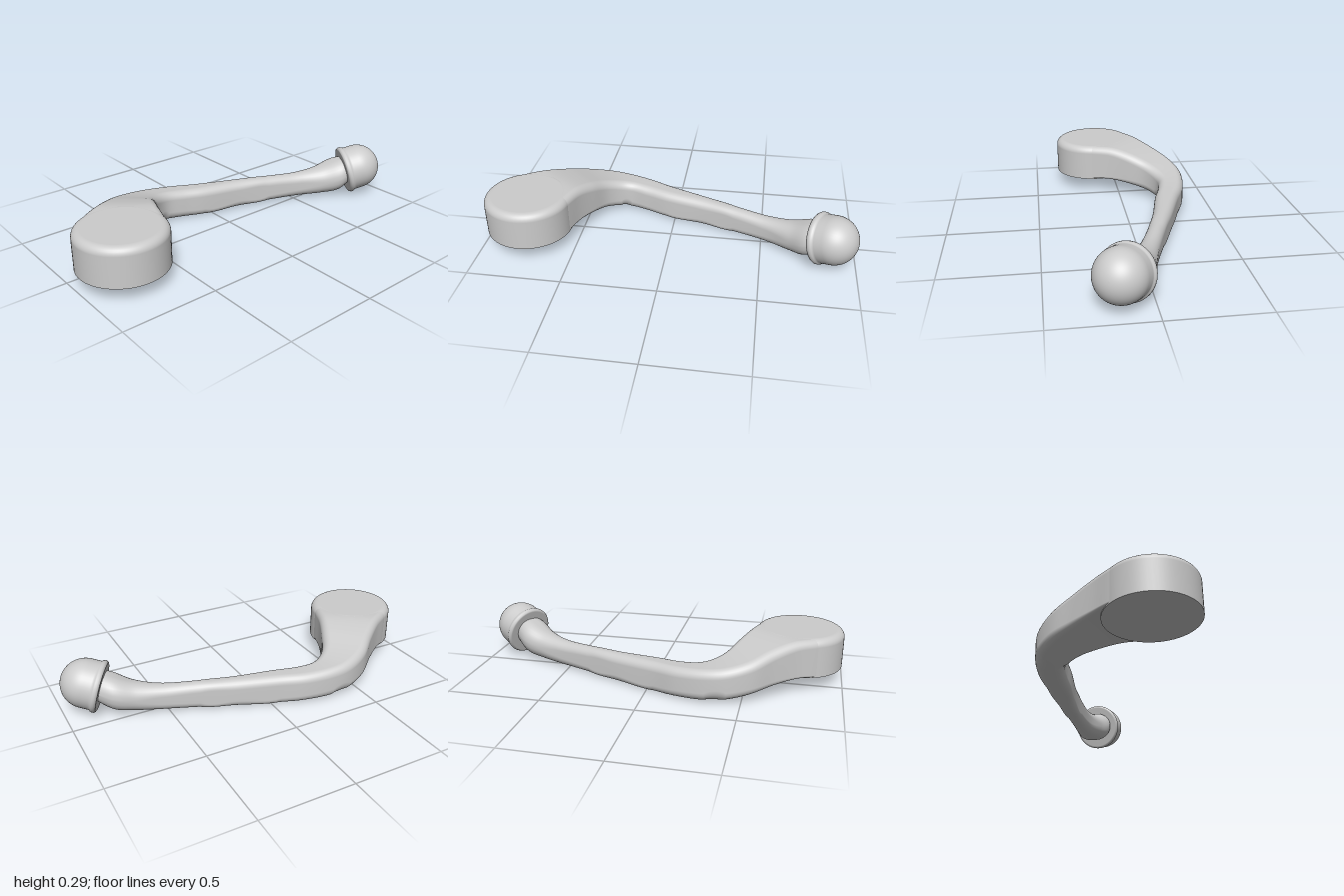
import * as THREE from 'three';

const material = new THREE.MeshStandardMaterial({ color: 0xcccccc, roughness: 0.6 });

// Stations along the lever: outer edge x,z | inner edge x,z | top, bottom | top and bottom corner radius
const STATIONS = [
  [-0.02, 0.935, 0.28, 0.59, 0.287, 0.087, 0.04, 0.006],
  [-0.08, 0.86, 0.18, 0.54, 0.287, 0.089, 0.04, 0.008],
  [-0.14, 0.765, 0.06, 0.495, 0.286, 0.09, 0.042, 0.015],
  [-0.22, 0.66, -0.04, 0.445, 0.262, 0.073, 0.045, 0.03],
  [-0.31, 0.55, -0.14, 0.385, 0.221, 0.045, 0.045, 0.045],
  [-0.358, 0.43, -0.19, 0.32, 0.194, 0.025, 0.045, 0.05],
  [-0.363, 0.32, -0.206, 0.26, 0.181, 0.015, 0.045, 0.05],
  [-0.333, 0.17, -0.188, 0.17, 0.171, 0.009, 0.045, 0.045],
  [-0.28, 0.04, -0.15, 0.05, 0.166, 0.005, 0.045, 0.04],
  [-0.2, -0.18, -0.1, -0.16, 0.161, 0.008, 0.045, 0.04],
  [-0.13, -0.36, -0.042, -0.34, 0.157, 0.012, 0.045, 0.04],
  [-0.065, -0.55, 0.04, -0.53, 0.156, 0.015, 0.05, 0.05],
  [-0.035, -0.67, 0.12, -0.64, 0.176, 0.02, 0.07, 0.07],
  [-0.008, -0.78, 0.185, -0.715, 0.215, 0.035, 0.085, 0.085],
  [0.06, -0.86, 0.2, -0.78, 0.235, 0.075, 0.08, 0.08],
];

// Rounded rectangle, counter-clockwise, with separate top and bottom radii
function section(halfW, bottom, top, rTop, rBottom) {
  const limit = Math.min(halfW, (top - bottom) / 2) * 0.98;
  const points = [];
  const corners = [[1, -1], [1, 1], [-1, 1], [-1, -1]];
  corners.forEach(([sx, sy], k) => {
    const r = Math.min(sy > 0 ? rTop : rBottom, limit);
    const cx = sx * (halfW - r);
    const cy = sy > 0 ? top - r : bottom + r;
    for (let i = 0; i <= 7; i++) {
      const a = (k - 1 + i / 7) * Math.PI / 2;
      points.push([cx + r * Math.cos(a), cy + r * Math.sin(a)]);
    }
  });
  return points;
}

// Lever arm: smooth loft through the stations, closed at both ends
function leverGeometry() {
  const curve = (pick) => new THREE.CatmullRomCurve3(
    STATIONS.map((s) => new THREE.Vector3(...pick(s))));
  const outer = curve((s) => [s[0], s[4], s[1]]);
  const inner = curve((s) => [s[2], s[5], s[3]]);
  const radii = curve((s) => [s[6], s[7], 0]);
  const steps = 112;
  const ring = 32;
  const positions = [];
  const index = [];
  for (let i = 0; i <= steps; i++) {
    const l = outer.getPoint(i / steps);
    const r = inner.getPoint(i / steps);
    const c = radii.getPoint(i / steps);
    const halfW = Math.hypot(r.x - l.x, r.z - l.z) / 2;
    for (const [u, y] of section(halfW, r.y, l.y, c.x, c.y)) {
      const t = 0.5 + u / (2 * halfW);
      positions.push(l.x + (r.x - l.x) * t, y, l.z + (r.z - l.z) * t);
    }
  }
  for (let i = 0; i < steps; i++) {
    for (let j = 0; j < ring; j++) {
      const a = i * ring + j;
      const b = i * ring + (j + 1) % ring;
      index.push(a, a + ring, b + ring, a, b + ring, b);
    }
  }
  const last = steps * ring;
  for (let j = 1; j < ring - 1; j++) {
    index.push(0, j, j + 1, last, last + j + 1, last + j);
  }
  const geometry = new THREE.BufferGeometry();
  geometry.setAttribute('position', new THREE.Float32BufferAttribute(positions, 3));
  geometry.setIndex(index);
  geometry.computeVertexNormals();
  return geometry;
}

// Mount: round boss with a rounded top edge and a sharp flat underside
function mountGeometry() {
  const R = 0.232, top = 0.288, bottom = 0.085, f = 0.04;
  const profile = [[0, bottom], [R, bottom], [R, bottom], [R, top - f]];
  for (let i = 1; i <= 8; i++) {
    const a = i / 8 * Math.PI / 2;
    profile.push([R - f + f * Math.cos(a), top - f + f * Math.sin(a)]);
  }
  profile.push([R - f - 0.002, top], [0, top]);
  return new THREE.LatheGeometry(profile.map((p) => new THREE.Vector2(...p)), 64);
}

// Knob: domed cap with a small raised lip around its flat back
function knobGeometry() {
  const R = 0.13, centre = 0.075;
  const profile = [[0, -0.012], [0.126, -0.012], [0.134, -0.009], [0.139, 0],
    [0.139, 0.01], [0.135, 0.018], [0.131, 0.022], [R, 0.03]];
  for (let i = 0; i <= 20; i++) {
    const a = i / 20 * Math.PI / 2;
    profile.push([i === 20 ? 0 : R * Math.cos(a), centre + R * Math.sin(a)]);
  }
  return new THREE.LatheGeometry(profile.map((p) => new THREE.Vector2(...p)), 48);
}

export function createModel() {
  const model = new THREE.Group();
  model.name = 'lever';
  const add = (name, geometry) => {
    const mesh = new THREE.Mesh(geometry, material);
    mesh.name = name;
    model.add(mesh);
    return mesh;
  };

  add('leverArm', leverGeometry());
  add('mountBoss', mountGeometry()).position.set(0.13, 0, 0.762);

  const knob = add('knob', knobGeometry());
  knob.position.set(0.122, 0.147, -0.807);
  knob.quaternion.setFromUnitVectors(
    new THREE.Vector3(0, 1, 0), new THREE.Vector3(0.5, 0.26, -0.83).normalize());
  return model;
}
